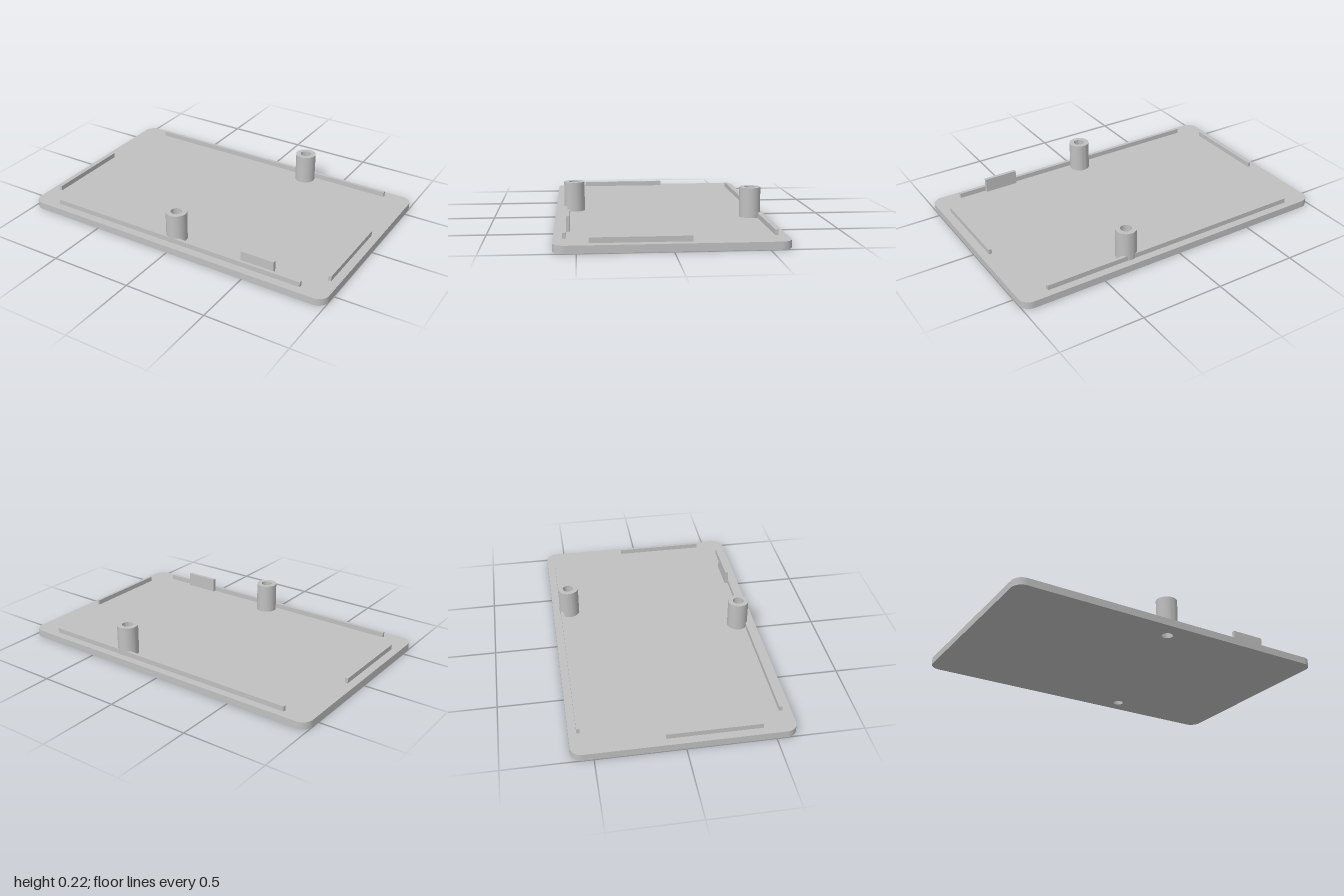
import * as THREE from 'three';
import { toCreasedNormals } from 'three/addons/utils/BufferGeometryUtils.js';

const HALF_X = 1, HALF_Z = 0.623, CORNER = 0.065;
const PLATE_TOP = 0.043, RAIL_TOP = 0.073, POST_TOP = 0.22;
const POST_R = 0.062, HOLE_R = 0.033;
const posts = [
  { name: 'frontPost', x: 0, z: 0.51 },
  { name: 'backPost', x: 0.3, z: -0.52 },
];

// Extrude a plan outline upwards, smooth on curves and sharp at edges
function extrudeUp(shape, y0, y1) {
  const geo = new THREE.ExtrudeGeometry(shape, { depth: y1 - y0, bevelEnabled: false, curveSegments: 24 });
  geo.rotateX(-Math.PI / 2).translate(0, y0, 0);
  return toCreasedNormals(geo, 0.6);
}

function circle(path, x, z, r) {
  path.absarc(x, -z, r, 0, Math.PI * 2, false);
  return path;
}

function plateShape() {
  const s = new THREE.Shape();
  const x = HALF_X - CORNER, z = HALF_Z - CORNER, q = Math.PI / 2;
  s.absarc(x, z, CORNER, 0, q, false);
  s.absarc(-x, z, CORNER, q, 2 * q, false);
  s.absarc(-x, -z, CORNER, 2 * q, 3 * q, false);
  s.absarc(x, -z, CORNER, 3 * q, 4 * q, false);
  s.closePath();
  for (const p of posts) s.holes.push(circle(new THREE.Path(), p.x, p.z, HOLE_R));
  return s;
}

export function createModel() {
  const group = new THREE.Group();
  const grey = new THREE.MeshStandardMaterial({ color: 0xc0c0c0 });
  grey.name = 'light grey';

  const add = (name, geo) => {
    const mesh = new THREE.Mesh(geo, grey);
    mesh.name = name;
    group.add(mesh);
  };
  // Upright block on the plate, given by its plan limits and top height
  const block = (name, x0, x1, z0, z1, top) => add(name,
    new THREE.BoxGeometry(x1 - x0, top - PLATE_TOP, z1 - z0)
      .translate((x0 + x1) / 2, (top + PLATE_TOP) / 2, (z0 + z1) / 2));

  // Cover plate with screw holes
  add('plate', extrudeUp(plateShape(), 0, PLATE_TOP));

  // Hollow screw posts
  for (const p of posts) {
    const ring = circle(new THREE.Shape(), p.x, p.z, POST_R);
    ring.holes.push(circle(new THREE.Path(), p.x, p.z, HOLE_R));
    add(p.name, extrudeUp(ring, PLATE_TOP, POST_TOP));
  }

  // Locating rails along the four edges
  block('frontRail', -0.832, 0.832, 0.554, 0.573, RAIL_TOP);
  block('backRail', -0.832, 0.832, -0.577, -0.558, RAIL_TOP);
  block('leftRail', 0.933, 0.951, -0.103, 0.436, RAIL_TOP);
  block('rightRail', -0.951, -0.933, -0.103, 0.436, RAIL_TOP);

  // Raised tab behind the front rail
  block('tab', 0.455, 0.662, 0.535, 0.555, 0.13);

  return group;
}
